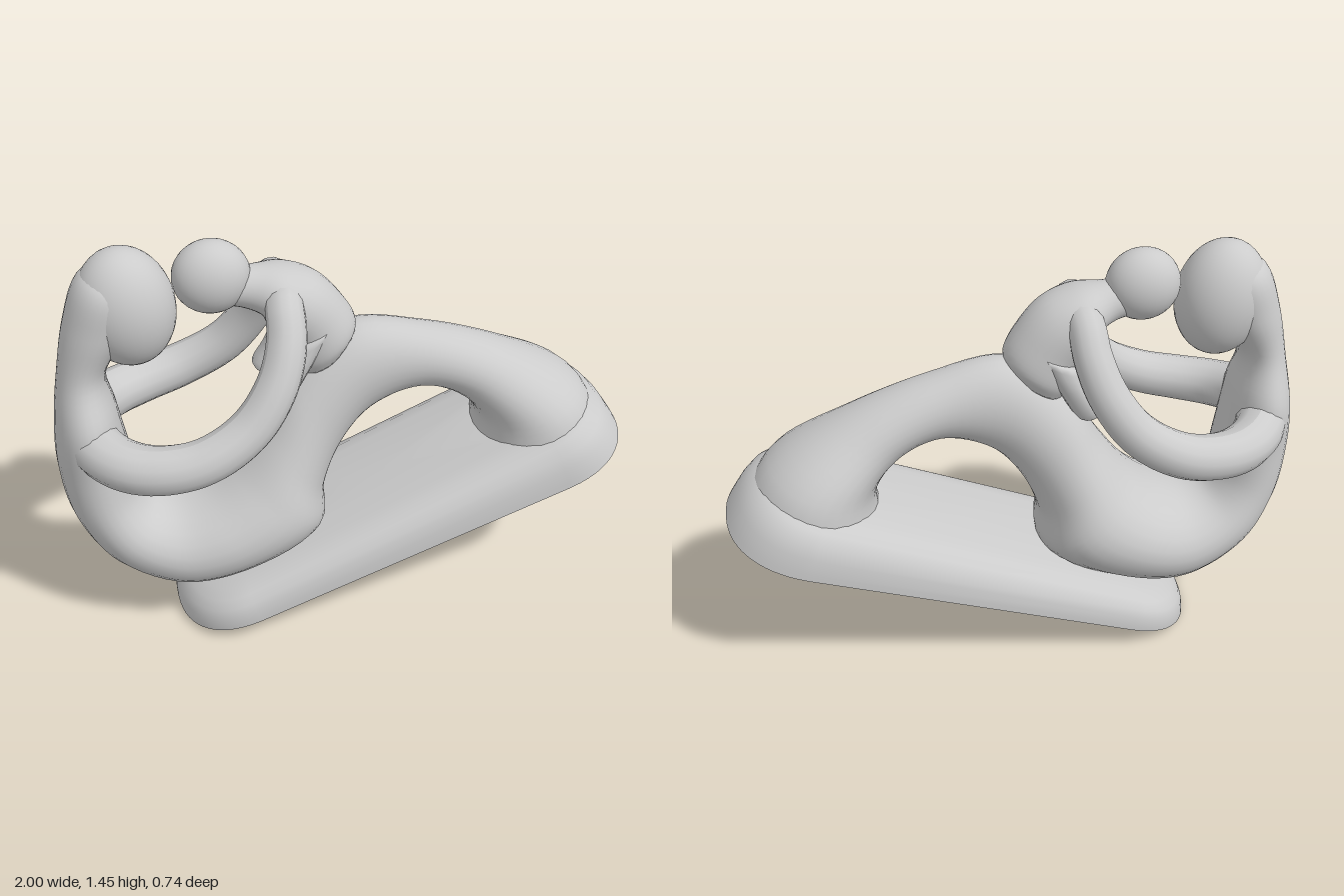
import * as THREE from 'three';
import { toCreasedNormals } from 'three/addons/utils/BufferGeometryUtils.js';

const material = new THREE.MeshStandardMaterial({ color: 0xcccccc });

function addPart(parent, name, geometry) {
  const mesh = new THREE.Mesh(geometry, material);
  mesh.name = name;
  parent.add(mesh);
  return mesh;
}

// Closed skin over a list of equally long rings of Vector3
function skin(rings) {
  const n = rings[0].length, last = rings.length - 1;
  const pos = [], index = [];
  rings.forEach(r => r.forEach(p => pos.push(p.x, p.y, p.z)));
  for (let i = 0; i < last; i++) {
    for (let j = 0; j < n; j++) {
      const a = i * n + j, b = i * n + (j + 1) % n, c = a + n, d = b + n;
      index.push(a, c, b, b, c, d);
    }
  }
  for (const k of [0, last]) {
    const mid = rings[k].reduce((s, p) => s.add(p), new THREE.Vector3()).divideScalar(n);
    const m = pos.length / 3;
    pos.push(mid.x, mid.y, mid.z);
    for (let j = 0; j < n; j++) {
      const a = k * n + j, b = k * n + (j + 1) % n;
      if (k === 0) index.push(m, a, b); else index.push(m, b, a);
    }
  }
  const g = new THREE.BufferGeometry();
  g.setAttribute('position', new THREE.Float32BufferAttribute(pos, 3));
  g.setIndex(index);
  g.computeVertexNormals();
  return g;
}

// Elliptical loft; each section is [edge x, edge y, opposite x, opposite y, half depth]
function loft(sections, steps, sides = 28) {
  const edgeA = new THREE.CatmullRomCurve3(sections.map(s => new THREE.Vector3(s[0], s[1], s[4])));
  const edgeB = new THREE.CatmullRomCurve3(sections.map(s => new THREE.Vector3(s[2], s[3], s[4])));
  const rings = [];
  for (let i = 0; i <= steps; i++) {
    const a = edgeA.getPoint(i / steps), b = edgeB.getPoint(i / steps);
    const ring = [];
    for (let j = 0; j < sides; j++) {
      const t = j / sides * Math.PI * 2, c = Math.cos(t) / 2;
      ring.push(new THREE.Vector3(
        (a.x + b.x) / 2 + (a.x - b.x) * c,
        (a.y + b.y) / 2 + (a.y - b.y) * c,
        a.z * Math.sin(t)));
    }
    rings.push(ring);
  }
  return skin(rings);
}

// Tube along points, its radius changing from r0 to r1
function taperedTube(points, r0, r1, steps = 32, sides = 14) {
  const curve = new THREE.CatmullRomCurve3(points.map(p => new THREE.Vector3(...p)));
  const g = new THREE.TubeGeometry(curve, steps, 1, sides);
  const p = g.attributes.position, v = new THREE.Vector3();
  for (let i = 0; i <= steps; i++) {
    const c = curve.getPointAt(i / steps), r = r0 + (r1 - r0) * i / steps;
    for (let j = 0; j <= sides; j++) {
      const k = i * (sides + 1) + j;
      v.fromBufferAttribute(p, k).sub(c).multiplyScalar(r).add(c);
      p.setXYZ(k, v.x, v.y, v.z);
    }
  }
  g.computeVertexNormals();
  return g;
}

// Round-ended slab, thicker towards the right end, with a rolled top edge
function baseGeometry() {
  const half = 0.872, end = 0.3, width = 0.318, sides = 64;
  const rows = [[0, 0], [0.02, 0], [0.06, 0.004], [0.095, 0.016], [0.122, 0.042], [0.138, 0.08], [0.146, 0.13]];
  const round = v => Math.sign(v) * Math.abs(v) ** 0.85;
  const rings = rows.map(([h, inset]) => {
    const ring = [];
    for (let j = 0; j < sides; j++) {
      const t = (j + 0.5) / sides * Math.PI * 2;
      const c = Math.cos(t), s = Math.sin(t);
      const x = Math.sign(c) * (half - end) + round(c) * (end - inset - h * 0.3);
      ring.push(new THREE.Vector3(x, h * (1.1 + 0.45 * x), round(s) * (width - inset)));
    }
    return ring;
  });
  return toCreasedNormals(skin(rings), 0.8);
}

export function createModel() {
  const model = new THREE.Group();
  model.name = 'embracingFiguresSculpture';

  // Tilted base
  const base = addPart(model, 'base', baseGeometry());
  base.position.set(0.178, 0.289, 0);
  base.rotation.z = 0.334;

  // Parent figure: neck, back, hips, thighs, knees and shins in one sweep
  const parent = new THREE.Group();
  parent.name = 'parentFigure';
  model.add(parent);
  addPart(parent, 'parentBody', loft([
    [-0.77, 1.41, -0.68, 1.38, 0.05],
    [-0.86, 1.36, -0.67, 1.30, 0.12],
    [-0.92, 1.21, -0.71, 1.18, 0.125],
    [-0.96, 1.03, -0.80, 1.03, 0.115],
    [-0.99, 0.85, -0.78, 0.88, 0.18],
    [-1.00, 0.68, -0.75, 0.69, 0.18],
    [-0.97, 0.48, -0.73, 0.58, 0.19],
    [-0.86, 0.29, -0.69, 0.525, 0.22],
    [-0.62, 0.16, -0.62, 0.51, 0.255],
    [-0.35, 0.20, -0.52, 0.54, 0.28],
    [-0.10, 0.33, -0.42, 0.62, 0.26],
    [-0.09, 0.48, -0.31, 0.76, 0.205],
    [-0.02, 0.64, -0.20, 0.93, 0.155],
    [0.08, 0.75, 0.01, 1.085, 0.125],
    [0.25, 0.81, 0.28, 1.04, 0.115],
    [0.38, 0.77, 0.58, 0.925, 0.15],
    [0.475, 0.66, 0.84, 0.77, 0.24],
    [0.46, 0.49, 0.95, 0.60, 0.27],
  ], 102));
  const head = addPart(parent, 'parentHead', new THREE.SphereGeometry(1, 32, 22));
  head.scale.set(0.158, 0.205, 0.143);
  head.position.set(-0.715, 1.245, 0);
  head.rotation.z = 0.12;

  // Child figure sitting on the thighs
  const child = new THREE.Group();
  child.name = 'childFigure';
  model.add(child);
  addPart(child, 'childBody', loft([
    [-0.44, 1.22, -0.40, 1.34, 0.06],
    [-0.35, 1.20, -0.30, 1.335, 0.075],
    [-0.29, 1.17, -0.20, 1.325, 0.125],
    [-0.26, 1.10, -0.10, 1.285, 0.135],
    [-0.22, 1.04, -0.02, 1.20, 0.13],
    [-0.20, 0.97, 0.03, 1.10, 0.125],
    [-0.17, 0.93, 0.00, 1.03, 0.10],
  ], 36));
  const childHead = addPart(child, 'childHead', new THREE.SphereGeometry(1, 28, 20));
  childHead.scale.set(0.127, 0.124, 0.1);
  childHead.position.set(-0.44, 1.317, 0);

  for (const side of [1, -1]) {
    const label = side > 0 ? 'left' : 'right';
    // Joined arms of both figures, forming a ring
    addPart(model, label + 'Arms', taperedTube([
      [-0.88, 0.81, -0.02 * side], [-0.865, 0.80, 0.11 * side],
      [-0.79, 0.785, 0.21 * side], [-0.68, 0.785, 0.27 * side],
      [-0.53, 0.815, 0.295 * side],
      [-0.38, 0.90, 0.275 * side], [-0.28, 1.03, 0.235 * side],
      [-0.235, 1.15, 0.175 * side], [-0.225, 1.235, 0.10 * side],
      [-0.21, 1.235, 0],
    ], 0.092, 0.06, 48));
    // Short blunt child leg
    addPart(child, label + 'ChildLeg', loft([
      [-0.24, 1.06, -0.06, 1.14, 0.06],
      [-0.27, 0.99, -0.13, 1.01, 0.07],
      [-0.31, 0.925, -0.21, 0.88, 0.065],
      [-0.30, 0.905, -0.24, 0.87, 0.04],
    ], 12, 14)).position.z = 0.08 * side;
  }
  return model;
}
